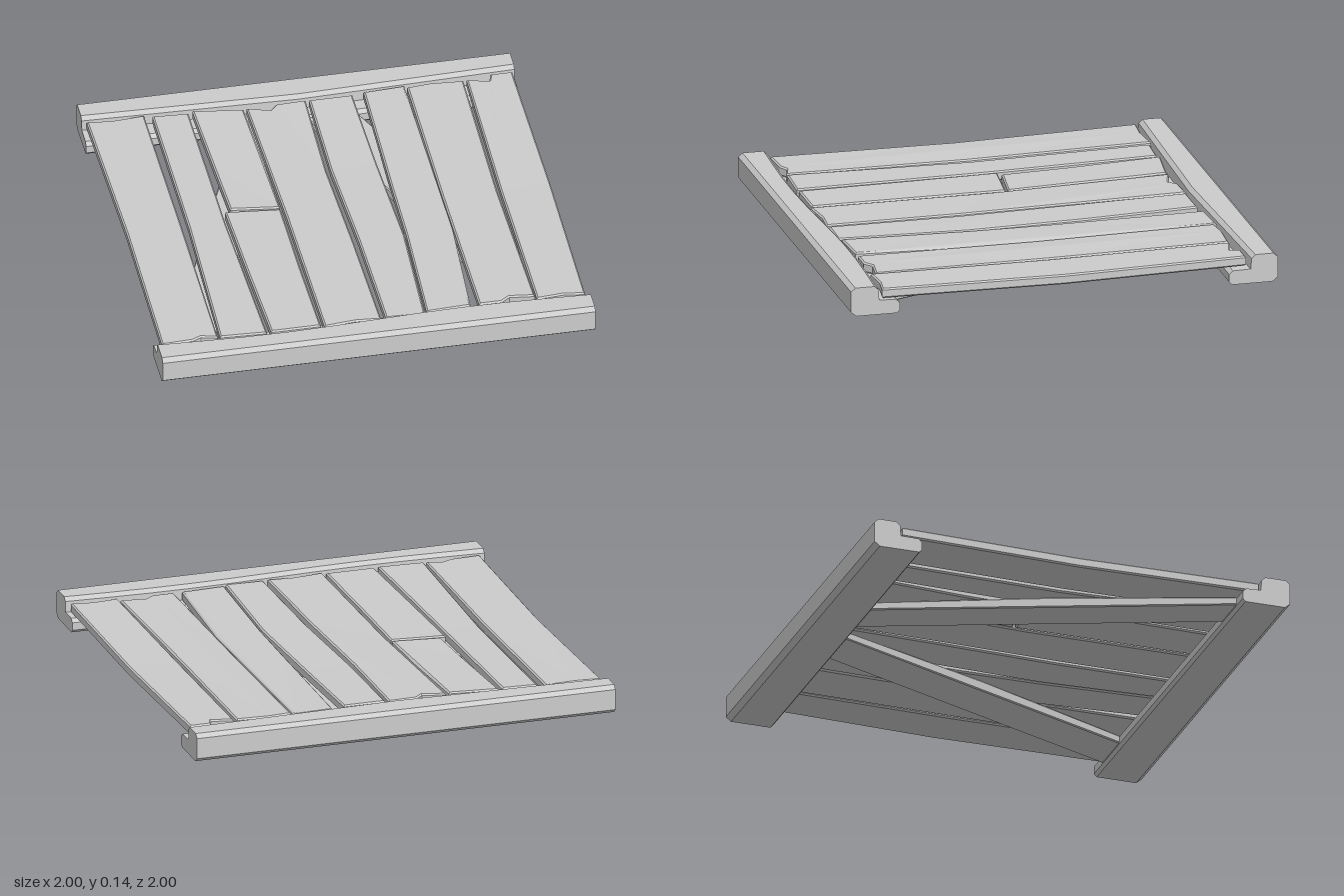
import * as THREE from 'three';

const material = new THREE.MeshStandardMaterial({ color: 0xcccccc, flatShading: true });

function addMesh(group, name, geometry) {
  geometry.computeVertexNormals();
  const mesh = new THREE.Mesh(geometry, material);
  mesh.name = name;
  group.add(mesh);
}

// Calls rule(point) for every vertex so it can be moved
function deform(geometry, rule) {
  const pos = geometry.attributes.position;
  const p = new THREE.Vector3();
  for (let i = 0; i < pos.count; i++) {
    rule(p.fromBufferAttribute(pos, i));
    pos.setXYZ(i, p.x, p.y, p.z);
  }
  return geometry;
}

// Bevelled board lying flat; outline holds [x, z] points seen from above
function board(outline, bottom, top, bevel) {
  const shape = new THREE.Shape(outline.map(([x, z]) => new THREE.Vector2(x, -z)));
  const geometry = new THREE.ExtrudeGeometry(shape, {
    depth: top - bottom - 2 * bevel, bevelEnabled: true, bevelSegments: 1,
    bevelSize: bevel, bevelThickness: bevel, bevelOffset: -bevel,
  });
  return geometry.rotateX(-Math.PI / 2).translate(0, bottom + bevel, 0);
}

// L-shaped rail section as [z, y], with the ledge facing inwards
const railSection = [
  [0.785, 0], [0.975, 0], [1, 0.02], [1, 0.117], [0.98, 0.135], [0.885, 0.135],
  [0.867, 0.118], [0.863, 0.068], [0.79, 0.066], [0.772, 0.05], [0.772, 0.014],
];

function rail(turn, bow) {
  const shape = new THREE.Shape(railSection.map(([z, y]) => new THREE.Vector2(z, y)));
  const geometry = new THREE.ExtrudeGeometry(shape, { depth: 2, steps: 10, bevelEnabled: false });
  geometry.rotateY(-Math.PI / 2).translate(1, 0, 0).rotateY(turn);
  // Hand-hewn waviness of the upper inner edge
  return deform(geometry, (p) => {
    const z = Math.abs(p.z);
    if (z > 0.85 && z < 0.92 && p.y > 0.06) p.z += bow(p.x);
  });
}

// Plank outlines, back edge first, then down the right-hand side and back up
const planks = [
  [[-0.98, -0.86], [-0.86, -0.85], [-0.715, -0.86], [-0.71, 0], [-0.715, 0.85],
    [-0.79, 0.83], [-0.83, 0.85], [-0.975, 0.857], [-0.965, 0]],
  [[-0.68, -0.845], [-0.515, -0.835], [-0.51, 0], [-0.49, 0.86], [-0.705, 0.85], [-0.68, 0]],
  [[-0.495, -0.845], [-0.265, -0.815], [-0.25, -0.4], [-0.245, -0.065], [-0.47, -0.095], [-0.48, -0.4]],
  [[-0.497, -0.082], [-0.245, -0.055], [-0.245, 0.4], [-0.24, 0.855], [-0.47, 0.855], [-0.485, 0.4]],
  [[-0.25, -0.82], [-0.145, -0.79], [-0.11, -0.825], [0.025, -0.83], [0.015, -0.3], [0.03, 0.25],
    [0.038, 0.86], [-0.08, 0.85], [-0.225, 0.865], [-0.23, 0]],
  [[0.04, -0.825], [0.24, -0.825], [0.25, -0.3], [0.267, 0.25], [0.24, 0.86], [0.06, 0.855],
    [0.055, 0.25], [0.035, -0.3]],
  [[0.295, -0.84], [0.485, -0.85], [0.49, 0.25], [0.455, 0.835], [0.25, 0.845], [0.275, 0.25], [0.28, -0.1]],
  [[0.495, -0.835], [0.6, -0.845], [0.755, -0.835], [0.745, 0], [0.755, 0.82], [0.64, 0.805],
    [0.6, 0.835], [0.495, 0.835], [0.492, 0]],
  [[0.77, -0.835], [0.87, -0.81], [0.885, -0.855], [0.985, -0.855], [0.992, 0], [0.982, 0.85],
    [0.88, 0.835], [0.76, 0.845], [0.76, 0]],
];

// Underside braces: [x at back, x at front, half width]
const braces = [[0.135, 0.78, 0.115], [-0.2, -0.82, 0.1]];

export function createModel() {
  const group = new THREE.Group();

  // Front and back rails
  addMesh(group, 'frontRail', rail(0, (x) => -0.015 * Math.sin(Math.PI * 1.1 * x)));
  addMesh(group, 'backRail', rail(Math.PI, (x) => 0.02 - 0.03 * Math.abs(x)));

  // Deck planks, sagging slightly and rising towards the back
  planks.forEach((outline, i) => {
    const rise = 0.01 + 0.005 * (i % 3) / 2;
    const geometry = deform(board(outline, 0.066, 0.112, 0.007), (p) => {
      p.y += 0.004 * p.z * p.z + (p.z < 0 ? rise * p.z * p.z : 0);
    });
    addMesh(group, `plank${i + 1}`, geometry);
  });

  // Diagonal braces, thickest in the middle
  braces.forEach(([back, front, w], i) => {
    const mid = (back + front) / 2;
    const outline = [[back - w, -0.785], [back + w, -0.785], [mid + w, 0], [front + w, 0.785],
      [front - w, 0.785], [mid - w, 0]];
    const geometry = deform(board(outline, 0.02, 0.068, 0.005), (p) => {
      if (p.y > 0.05) p.y -= 0.014 * Math.abs(p.z);
    });
    addMesh(group, `brace${i + 1}`, geometry);
  });

  return group;
}
